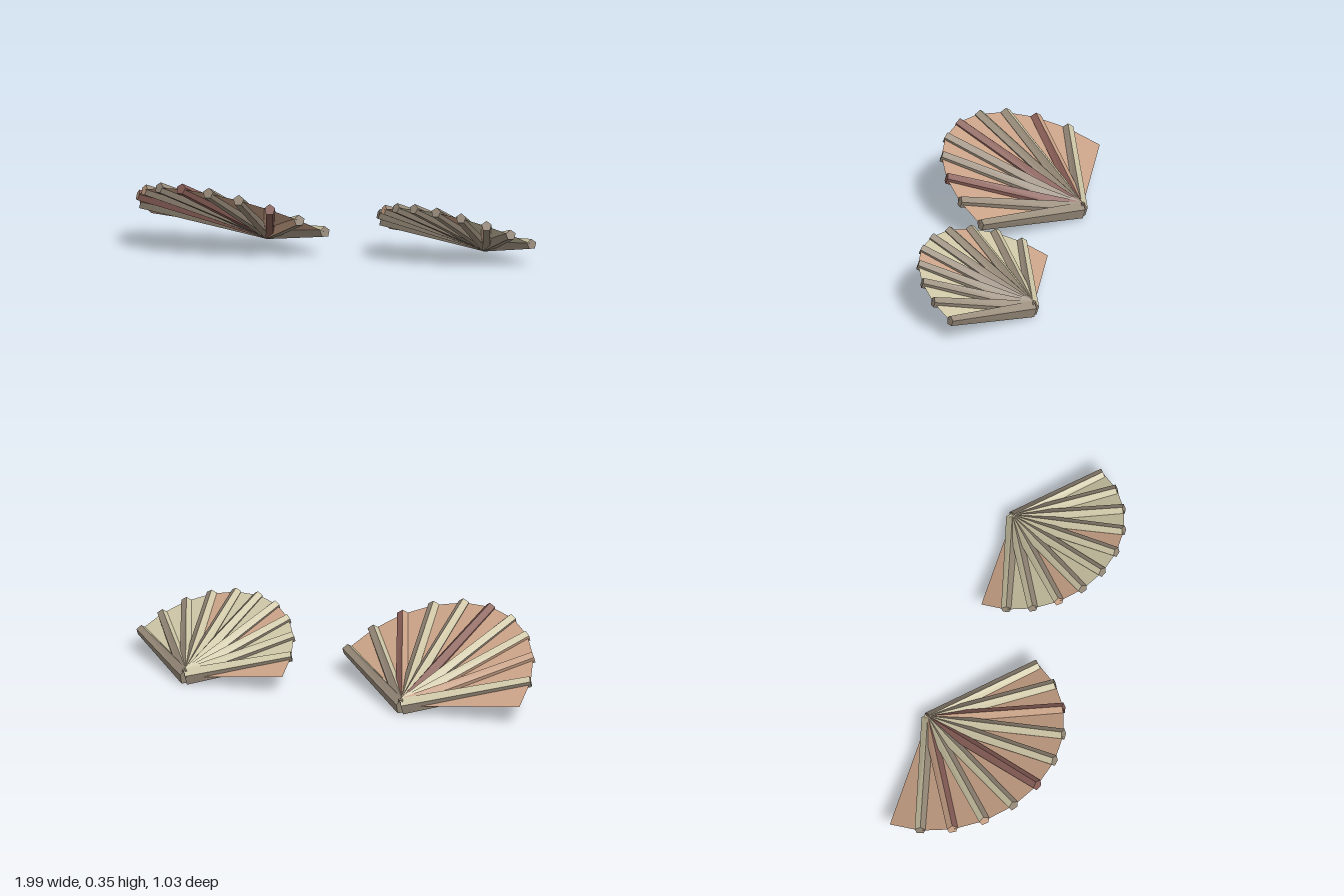
import * as THREE from 'three';

const mat = (name, color) => new THREE.MeshStandardMaterial({ name, color });

export function createModel() {
  const olive = mat('paleOlive', 0xcdc5a5);
  const taupe = mat('taupe', 0x978a79);
  const salmon = mat('salmon', 0xc9a287);
  const red = mat('dullRed', 0x8a5f58);
  const webOlive = mat('paleOliveWeb', 0xcdc5a5);
  const webSalmon = mat('salmonWeb', 0xc9a287);
  webOlive.side = webSalmon.side = THREE.DoubleSide;

  // Tip i (0..10) of a fan, relative to its hinge: an elliptical arc that tilts up to the front
  function tip(i, scale) {
    const t = THREE.MathUtils.degToRad(-80 + 16 * i);
    const z = 0.114 + 0.548 * Math.cos(t) + 0.04 * (i / 10) ** 2;
    return new THREE.Vector3(-0.01 + 0.533 * Math.sin(t), 0.488 * z - 0.04, z).multiplyScalar(scale);
  }

  // Five-sided rib, taller and narrower at the hinge.
  // Materials: upper left face, lower left face, remaining faces, end caps
  function rib(end, tipRadius, materials) {
    const length = end.length();
    const g = new THREE.CylinderGeometry(tipRadius, 0.042, length, 5, 1).toNonIndexed();
    g.rotateY(Math.PI);
    g.translate(0, length / 2, 0);
    g.rotateX(Math.PI / 2);
    const p = g.attributes.position;
    for (let i = 0; i < p.count; i++) if (p.getZ(i) < 0.01) p.setX(i, p.getX(i) * 0.72);
    g.computeVertexNormals();
    g.clearGroups();
    [[0, 6], [6, 6], [12, 18], [30, 30]].forEach(([start, count], m) => g.addGroup(start, count, m));
    const mesh = new THREE.Mesh(g, materials);
    mesh.lookAt(end);
    mesh.name = 'rib';
    return mesh;
  }

  // Flat web panel from the hinge to two neighbouring tips
  function panel(a, b, material) {
    const g = new THREE.BufferGeometry().setFromPoints([new THREE.Vector3(), a, b]);
    g.computeVertexNormals();
    const mesh = new THREE.Mesh(g, material);
    mesh.name = 'webPanel';
    return mesh;
  }

  const plainRib = [olive, taupe, taupe, taupe];

  function fan(name, position, scale, tipRadius, specialRibs, panelMaterial) {
    const group = new THREE.Group();
    group.name = name;
    for (let i = 0; i < 10; i++) {
      const a = tip(i, scale), b = tip(i + 1, scale);
      group.add(panel(a, b, panelMaterial(i)), rib(b, tipRadius, specialRibs[i + 1] ?? plainRib));
    }
    group.position.set(...position);
    return group;
  }

  const model = new THREE.Group();
  model.name = 'pairOfFans';
  model.add(
    // Large fan: salmon web, mixed ribs
    fan('largeFan', [-0.465, 0.038, -0.153], 1, 0.027, {
      2: [salmon, salmon, red, salmon],
      3: [olive, salmon, taupe, salmon],
      5: [red, red, red, red],
      8: [salmon, salmon, red, red],
      9: [olive, salmon, taupe, taupe],
    }, () => webSalmon),
    // Small fan: mostly olive with a few salmon panels
    fan('smallFan', [0.56, 0.038, -0.48], 0.82, 0.025, {
      3: [olive, taupe, taupe, salmon],
      8: [olive, salmon, taupe, taupe],
    }, i => ([0, 3, 6].includes(i) ? webSalmon : webOlive)),
  );
  return model;
}
